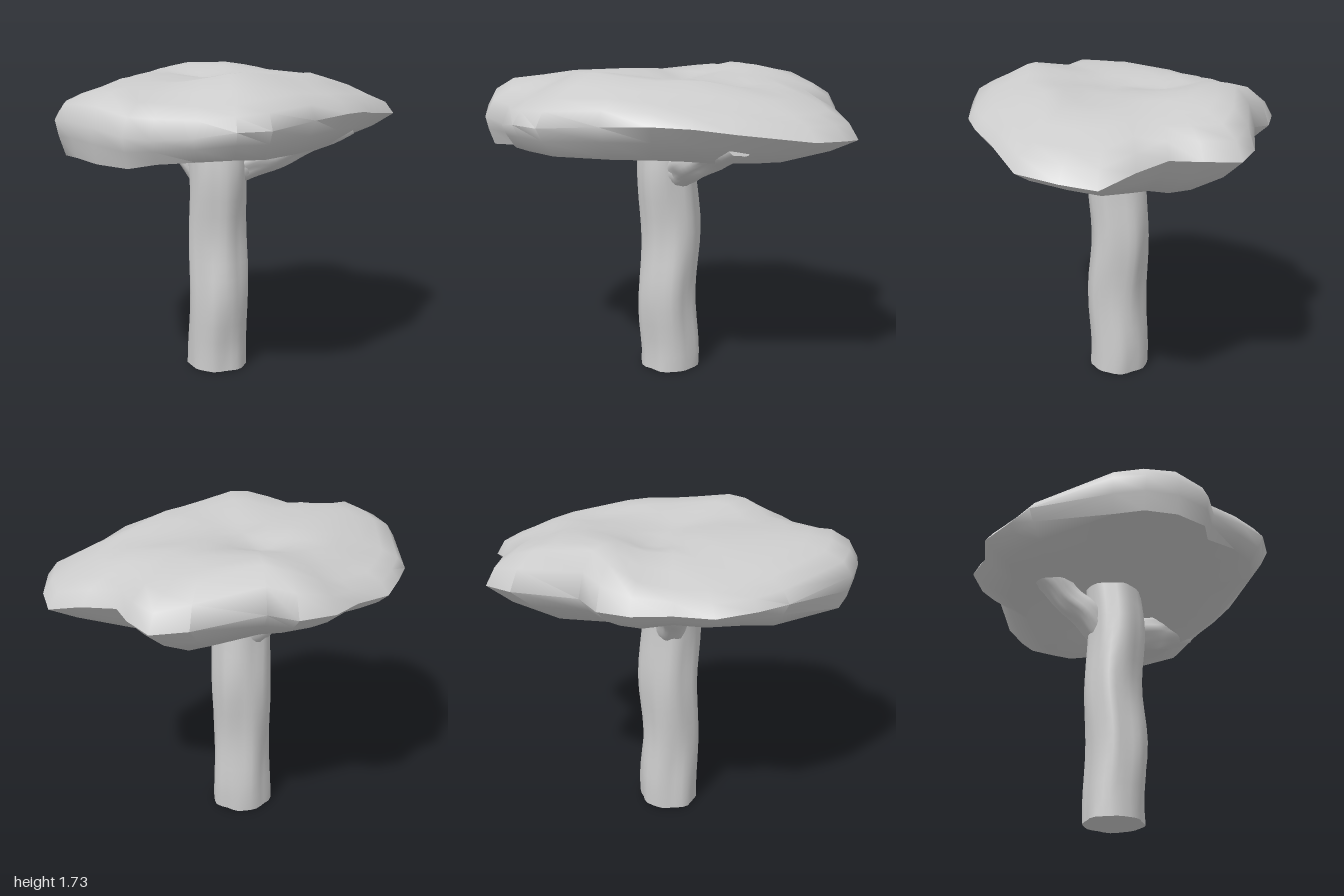
import * as THREE from 'three';
import { mergeVertices, toCreasedNormals } from 'three/addons/utils/BufferGeometryUtils.js';

const material = new THREE.MeshStandardMaterial({ color: 0xcccccc });
const mix = THREE.MathUtils.lerp;

function addMesh(group, name, geometry) {
  const mesh = new THREE.Mesh(geometry, material);
  mesh.name = name;
  group.add(mesh);
}

function smooth(geometry, crease) {
  geometry.deleteAttribute('uv');
  geometry.deleteAttribute('normal');
  return toCreasedNormals(mergeVertices(geometry, 1e-4), crease);
}

// Canopy rim, clockwise from the back seen from above:
// x, z, height of the widest edge, height of the shoulder, height of the lip
const RIM = [
  [-0.19, -0.82, 1.47, 1.57, 1.37], [0, -0.78, 1.47, 1.56, 1.36],
  [0.20, -0.81, 1.48, 1.61, 1.34], [0.36, -0.72, 1.47, 1.67, 1.32],
  [0.45, -0.60, 1.49, 1.70, 1.30], [0.80, -0.45, 1.47, 1.66, 1.26],
  [0.94, -0.33, 1.46, 1.61, 1.23], [0.92, -0.15, 1.47, 1.61, 1.22],
  [0.86, 0, 1.47, 1.61, 1.23], [0.94, 0.18, 1.45, 1.58, 1.24],
  [1.00, 0.37, 1.40, 1.54, 1.25], [0.92, 0.53, 1.42, 1.54, 1.27],
  [0.77, 0.70, 1.44, 1.55, 1.29], [0.40, 0.75, 1.48, 1.58, 1.30],
  [0.20, 0.80, 1.51, 1.60, 1.32], [0, 0.81, 1.52, 1.61, 1.33],
  [-0.25, 0.77, 1.51, 1.63, 1.33], [-0.56, 0.72, 1.49, 1.62, 1.34],
  [-0.70, 0.62, 1.49, 1.60, 1.35], [-0.80, 0.45, 1.46, 1.59, 1.34],
  [-0.86, 0.25, 1.44, 1.60, 1.32], [-0.97, 0.17, 1.46, 1.61, 1.31],
  [-1.00, 0, 1.50, 1.65, 1.32], [-0.97, -0.17, 1.51, 1.64, 1.33],
  [-0.91, -0.32, 1.50, 1.62, 1.32], [-0.55, -0.66, 1.48, 1.58, 1.34],
  [-0.40, -0.73, 1.47, 1.56, 1.36],
];

// Humps and hollows on top of the canopy: x, z, height, width
const HUMPS = [
  [0.42, -0.42, 0.05, 0.26], [-0.35, 0.42, 0.055, 0.28], [-0.1, -0.2, 0.03, 0.3],
  [0.1, -0.25, -0.06, 0.16], [0, 0, -0.04, 0.2], [-0.27, -0.58, -0.05, 0.25],
  [0.45, 0.3, -0.04, 0.2], [0.2, 0.45, 0.025, 0.2], [-0.4, 0.15, -0.02, 0.15],
];

function crown(x, z) {
  return HUMPS.reduce((y, [cx, cz, h, w]) =>
    y + h * Math.exp(-((x - cx) ** 2 + (z - cz) ** 2) / (w * w)), 1.675);
}

// Closed shell: rings run from the top centre over the rim to the hollow underside
function canopyGeometry() {
  const hollow = (x, z) => 1.38 + 0.02 * Math.sin(5 * x - 3 * z);
  const lip = (r) => 0.79 - 0.17 * r[0];
  const rings = [
    [() => 0, crown],
    ...[0.15, 0.3, 0.45, 0.6].map((s) => [() => s, crown]),
    [() => 0.73, (x, z, r) => mix(crown(x, z), r[3], 0.5)],
    [() => 0.85, (x, z, r) => r[3]],
    [() => 0.95, (x, z, r) => mix(r[2], r[3], 0.6)],
    [() => 1, (x, z, r) => r[2]],
    [(r) => mix(1, lip(r), 0.35), (x, z, r) => mix(r[2], r[4], 0.45)],
    [lip, (x, z, r) => r[4]],
    [(r) => 0.7 * lip(r), (x, z, r) => mix(hollow(x, z), r[4], 0.6)],
    [(r) => 0.38 * lip(r), hollow],
    [() => 0, () => 1.4],
  ];
  const n = RIM.length, positions = [], index = [];
  rings.forEach(([scale, height], k) => RIM.forEach((r, i) => {
    const x = r[0] * scale(r), z = r[1] * scale(r);
    positions.push(x, height(x, z, r), z);
    if (k === rings.length - 1) return;
    const j = (i + 1) % n, a = k * n + i, b = k * n + j;
    if (k > 0) index.push(a, b, a + n);
    if (k < rings.length - 2) index.push(b, b + n, a + n);
  }));
  const geometry = new THREE.BufferGeometry();
  geometry.setAttribute('position', new THREE.Float32BufferAttribute(positions, 3));
  geometry.setIndex(index);
  return smooth(geometry, 1.1);
}

// Gnarled, grooved limb from a lower to an upper point
function limbGeometry(from, to, r0, r1, bump) {
  const a = new THREE.Vector3(...from), b = new THREE.Vector3(...to);
  const axis = b.clone().sub(a), length = axis.length();
  const geometry = new THREE.CylinderGeometry(r1, r0, length, 28, 16);
  const p = geometry.attributes.position;
  for (let i = 0; i < p.count; i++) {
    const x = p.getX(i), y = p.getY(i), z = p.getZ(i);
    const angle = Math.atan2(z, x), t = y / length + 0.5;
    const s = 1 + bump * (Math.sin(5 * angle + 6 * t) * 0.5
      + Math.sin(8 * angle - 5 * t) * 0.5 + Math.sin(13 * t + 2 * angle) * 0.35);
    const sway = bump * r0 * Math.sin(12.5 * t - 5.3);
    p.setXYZ(i, x * s + sway, y, z * s - sway);
  }
  geometry.applyQuaternion(new THREE.Quaternion().setFromUnitVectors(
    new THREE.Vector3(0, 1, 0), axis.normalize()));
  geometry.translate(...a.add(b).multiplyScalar(0.5).toArray());
  return smooth(geometry, 0.9);
}

export function createModel() {
  const tree = new THREE.Group();
  tree.name = 'tree';

  addMesh(tree, 'trunk', limbGeometry([0.008, 0, 0.008], [0.012, 1.45, 0], 0.166, 0.163, 0.055));

  // Each branch is a tapering limb with a rounded knot at the trunk
  const branches = [
    ['frontBranch', [0.08, 1.175, 0.1], [0.4, 1.44, 0.6], 0.098, 0.095],
    ['backBranch', [0, 1.12, -0.07], [0, 1.47, -0.46], 0.085, 0.085],
  ];
  for (const [name, from, to, r0, r1] of branches) {
    const branch = new THREE.Group();
    branch.name = name;
    addMesh(branch, name + 'Limb', limbGeometry(from, to, r0, r1, 0.07));
    addMesh(branch, name + 'Knot', new THREE.SphereGeometry(r0 * 0.97, 14, 10).translate(...from));
    tree.add(branch);
  }

  addMesh(tree, 'canopy', canopyGeometry());
  return tree;
}
